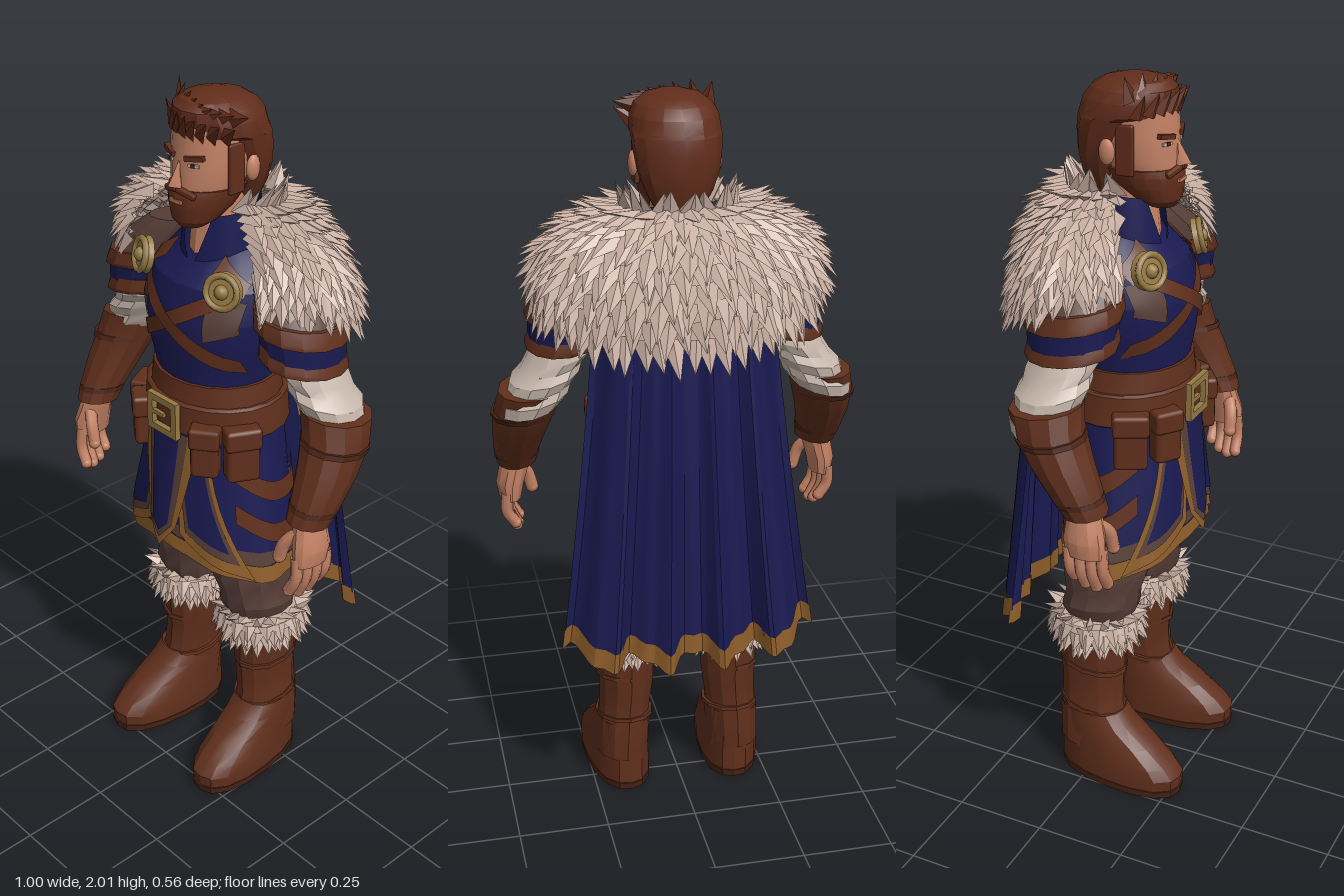
import * as THREE from 'three';
import { mergeGeometries, toCreasedNormals } from 'three/addons/utils/BufferGeometryUtils.js';
import { RoundedBoxGeometry } from 'three/addons/geometries/RoundedBoxGeometry.js';

const mat = (name, color) => Object.assign(new THREE.MeshStandardMaterial({ color, side: THREE.DoubleSide }), { name });
const M = {
  leather: mat('leather', 0x602f1c), dark: mat('darkLeather', 0x4a2416), hair: mat('hair', 0x622d1b),
  skin: mat('skin', 0xc48265), fur: mat('fur', 0xc9afa2), navy: mat('navyCloth', 0x1a1a52),
  gold: mat('goldTrim', 0x8e5e2a), brass: mat('brass', 0x967a44), brown: mat('brownCloth', 0x583f38),
  linen: mat('linen', 0xc8b8ac),
};
const V = (x, y, z) => new THREE.Vector3(x, y, z);
const lerp = THREE.MathUtils.lerp;
let seed = 7;
const rnd = () => (seed = (seed * 16807) % 2147483647) / 2147483647;

// Indexed grid surface; wrap joins the last column to the first
function grid(fn, nu, nv, wrap = false, caps = false) {
  const pos = [], idx = [], cols = wrap ? nu : nu + 1;
  for (let j = 0; j <= nv; j++) for (let i = 0; i < cols; i++) pos.push(...fn(i / nu, j / nv, j));
  for (let j = 0; j < nv; j++) for (let i = 0; i < nu; i++) {
    const a = j * cols + i, b = j * cols + (i + 1) % cols;
    idx.push(a, b, b + cols, a, b + cols, a + cols);
  }
  if (caps) for (let i = 1; i < nu - 1; i++) {
    const t = nv * cols;
    idx.push(0, i + 1, i, t, t + i, t + i + 1);
  }
  const g = new THREE.BufferGeometry();
  g.setAttribute('position', new THREE.Float32BufferAttribute(pos, 3));
  g.setIndex(idx);
  return toCreasedNormals(g, 0.45);
}
// Stacked oval rings, bottom to top: [x, y, z, radiusX, radiusZ]; tilt slopes the rings along x and z
const loft = (secs, n = 14, p = 2, tilt = [0, 0]) => grid((u, v, j) => {
  const [x, y, z, rx, rz] = secs[j], a = u * Math.PI * 2, s = Math.sin(a), c = Math.cos(a);
  const k = Math.pow(Math.abs(s) ** p + Math.abs(c) ** p, -1 / p), dx = rx * s * k, dz = rz * c * k;
  return [x + dx, y + dx * tilt[0] + dz * tilt[1], z + dz];
}, n, secs.length - 1, true, true);

function spike(base, dir, normal, len, w) {
  const g = new THREE.ConeGeometry(w, len, 4, 1, true).toNonIndexed();
  g.scale(1, 1, 0.45).translate(0, len * 0.4, 0);
  const y = dir.clone().normalize(), x = V().crossVectors(y, normal).normalize();
  g.applyMatrix4(new THREE.Matrix4().makeBasis(x, y, V().crossVectors(x, y)).setPosition(base));
  g.computeVertexNormals();
  return g;
}

export function createModel() {
  const root = new THREE.Group();
  root.name = 'cloakedWarrior';
  const add = (name, g, m, x = 0, y = 0, z = 0, rx = 0, ry = 0, rz = 0) => {
    const mesh = new THREE.Mesh(g, m);
    mesh.name = name;
    mesh.position.set(x, y, z);
    mesh.rotation.set(rx, ry, rz);
    root.add(mesh);
  };
  const ball = (name, m, x, y, z, a, b, c) => add(name, new THREE.SphereGeometry(1, 10, 7).scale(a, b, c), m, x, y, z);
  const rod = (name, m, r, pts) => {
    add(name, new THREE.TubeGeometry(new THREE.CatmullRomCurve3(pts), 8, r, 7), m);
    const e = pts[pts.length - 1];
    ball(name + 'Tip', m, e.x, e.y, e.z, r, r, r);
  };

  // Torso, neck and open collar
  const torso = [[0, 1.1, 0.04, 0.185, 0.155], [0, 1.25, 0.04, 0.168, 0.15], [0, 1.34, 0.045, 0.19, 0.16],
    [0, 1.44, 0.04, 0.21, 0.165], [0, 1.52, 0.015, 0.2, 0.162], [0, 1.58, 0, 0.15, 0.115], [0, 1.61, 0, 0.1, 0.085]];
  add('tunicTorso', loft(torso, 20), M.navy);
  const chestZ = (x, y) => {
    const i = Math.max(0, torso.findIndex((s, k) => k < 6 && y <= torso[k + 1][1])), a = torso[i], b = torso[i + 1];
    const t = (y - a[1]) / (b[1] - a[1]), rx = lerp(a[3], b[3], t);
    return lerp(a[2], b[2], t) + lerp(a[4], b[4], t) * Math.sqrt(Math.max(0, 1 - (x / rx) ** 2));
  };
  add('neck', loft([[0, 1.54, 0.03, 0.07, 0.088], [0, 1.62, 0.025, 0.07, 0.085], [0, 1.74, 0.02, 0.062, 0.07]]), M.skin);
  add('collar', grid((u, v) => {
    const a0 = 0.03 + 0.55 * v, a = a0 + u * (Math.PI * 2 - 2 * a0), r = 0.112 - 0.014 * v;
    return [r * Math.sin(a), lerp(1.555, 1.705, v) - 0.015 * Math.cos(a), 0.018 + r * Math.cos(a)];
  }, 24, 4), M.navy);

  // Crossed chest straps, upper harness and side panels
  for (const s of [-1, 1]) {
    add('chestStrap', grid((u, v) => {
      const x = s * lerp(-0.17, 0.175, u), y = lerp(1.53, 1.32, u) + (v - 0.5) * 0.046;
      return [x, y, chestZ(x, y) + 0.01 + s * 0.002];
    }, 14, 1), M.leather);
    add('harness', grid((u, v) => {
      const x = s * lerp(0.085, 0.17, u), y = lerp(1.575, 1.52, u) + (v - 0.5) * 0.04;
      return [x, y, chestZ(x, y) + 0.012];
    }, 6, 1), M.leather);
    add('chestPanel', grid((u, v) => {
      const x = s * lerp(0.105, 0.18, u), y = lerp(1.39 + 0.03 * u, 1.5, v);
      return [x, y, chestZ(x, y) + 0.004];
    }, 5, 4), M.brown);
  }

  // Belts, buckle and pouches
  add('waistBand', loft([[0, 1.2, 0.04, 0.187, 0.166], [0, 1.255, 0.04, 0.178, 0.16]], 20), M.leather);
  add('belt', loft([[0, 1.11, 0.04, 0.205, 0.174], [0, 1.115, 0.04, 0.211, 0.18], [0, 1.195, 0.04, 0.202, 0.178], [0, 1.2, 0.04, 0.195, 0.17]], 20), M.leather);
  const frame = new THREE.Shape([[-0.056, -0.053], [0.056, -0.053], [0.056, 0.053], [-0.056, 0.053]].map(p => new THREE.Vector2(...p)));
  frame.holes.push(new THREE.Path([[-0.036, -0.034], [-0.036, 0.034], [0.036, 0.034], [0.036, -0.034]].map(p => new THREE.Vector2(...p))));
  add('buckle', new THREE.ExtrudeGeometry(frame, { depth: 0.016, bevelEnabled: false }), M.brass, 0, 1.155, 0.22);
  add('bucklePin', new THREE.BoxGeometry(0.05, 0.012, 0.01), M.brass, -0.02, 1.155, 0.23);
  for (const s of [-1, 1]) for (const [a, w, h] of [[0.62, 0.075, 0.13], [1.1, 0.09, 0.15]]) {
    const x = s * 0.213 * Math.sin(a), z = 0.04 + 0.188 * Math.cos(a);
    add('pouch', new RoundedBoxGeometry(w, h, 0.055, 1, 0.012), M.leather, x, 1.08, z, 0, s * a, 0);
    add('pouchFlap', new RoundedBoxGeometry(w + 0.008, 0.06, 0.064, 1, 0.01), M.leather, x, 1.13, z, 0, s * a, 0);
  }

  // Skirt of the tunic with trimmed overlapping panels
  const skirt = (a, y, off = 0) => {
    const f = (1.13 - y) / 0.44, e = off + 0.006 * f * Math.cos(a * 9);
    return [(0.188 + 0.075 * f + e) * Math.sin(a), y, 0.035 + 0.015 * f + (0.16 + 0.025 * f + e) * Math.cos(a)];
  };
  const hem = a => 0.76 - 0.07 * Math.min(1, Math.abs(a) / 1.2);
  const ring = (v0, v1, off) => grid((u, v) => {
    const a = (u - 0.5) * Math.PI * 2;
    return skirt(a, lerp(1.13, hem(a), lerp(v0, v1, v)), off);
  }, 40, 4);
  add('skirt', ring(0, 0.98, 0), M.navy);
  add('skirtBand', ring(0.8, 0.89, 0.003), M.brown);
  add('skirtHem', ring(0.89, 1, 0.005), M.gold);
  const bordered = (name, fn, bu, bv, off) => [[M.gold, 0], [M.brown, 1], [M.navy, 1.8]].forEach(([m, k]) =>
    add(name, grid((u, v) => fn(lerp(bu * k, 1 - bu * k, u), v * (1 - bv * k), off + 0.003 * k), 12, 8), m));
  for (const s of [-1, 1]) {
    bordered('frontPanel', (u, v, o) => skirt(s * lerp(0.13 + 0.1 * v, 0.62 + 0.55 * v * v, u),
      lerp(1.12, 0.81 - 0.11 * u ** 0.7, v), o), 0.1, 0.1, 0.013);
    for (const y0 of [0.99, 0.87]) add('hipStrap', grid((u, v) => skirt(s * lerp(0.95, 2.4, u),
      y0 + (v - 0.5) * 0.055 - 0.05 * Math.sin(u * Math.PI) + 0.06 * (0.5 - u), 0.011), 12, 1), M.leather);
  }
  bordered('tabard', (u, v, o) => {
    const y = lerp(1.11, 0.755 + 0.075 * Math.abs(2 * u - 1), v), w = lerp(0.5, 0.2, v);
    return skirt((2 * u - 1) * w, y, o);
  }, 0.15, 0.08, 0.022);

  // Head, face and beard
  add('face', loft([[0, 1.69, 0.1, 0.045, 0.055], [0, 1.74, 0.075, 0.075, 0.09], [0, 1.79, 0.055, 0.093, 0.108],
    [0, 1.85, 0.045, 0.1, 0.115], [0, 1.92, 0.04, 0.098, 0.115], [0, 1.96, 0.03, 0.07, 0.09]], 18), M.skin);
  add('beard', loft([[0, 1.665, 0.12, 0.035, 0.035], [0, 1.685, 0.108, 0.062, 0.062], [0, 1.72, 0.085, 0.082, 0.09],
    [0, 1.75, 0.07, 0.091, 0.105], [0, 1.768, 0.06, 0.094, 0.107]], 16), M.hair);
  add('nose', new THREE.ConeGeometry(0.018, 0.07, 4).scale(1, 1, 1.4), M.skin, 0, 1.81, 0.166, -0.22, 0, 0);
  add('lowerLip', new THREE.BoxGeometry(0.04, 0.009, 0.008), M.skin, 0, 1.738, 0.173);

  // Rounded hair with locks swept up from the forehead
  add('hairCap', loft([[0, 1.69, -0.03, 0.055, 0.045], [0, 1.75, -0.03, 0.088, 0.066], [0, 1.8, -0.026, 0.106, 0.077],
    [0, 1.85, -0.012, 0.114, 0.094], [0, 1.89, 0.002, 0.117, 0.104], [0, 1.9, 0.022, 0.118, 0.122], [0, 1.935, 0.032, 0.114, 0.122],
    [0, 1.962, 0.042, 0.1, 0.11], [0, 1.98, 0.048, 0.075, 0.085], [0, 1.99, 0.05, 0.035, 0.045]], 14), M.hair);
  const locks = [];
  for (let r = 0; r < 2; r++) for (let i = 0; i < 9; i++) {
    const t = i / 8 - 0.5;
    locks.push(spike(V(t * 0.19, 1.915 + 0.04 * r - 0.025 * t * t, 0.15 - 0.02 * r - 0.22 * t * t),
      V(0.45 + t, 0.65 - 0.4 * r, 0.25 - 0.3 * r), V(t, 0.3, 1), 0.065, 0.026));
  }
  add('foreheadLocks', mergeGeometries(locks), M.hair);
  for (const s of [-1, 1]) {
    add('sideburn', new RoundedBoxGeometry(0.014, 0.13, 0.05, 1, 0.006), M.hair, s * 0.095, 1.82, 0.06);
    ball('ear', M.skin, s * 0.11, 1.815, 0.018, 0.013, 0.034, 0.022);
    add('moustache', new RoundedBoxGeometry(0.058, 0.018, 0.016, 1, 0.006), M.hair, s * 0.026, 1.763, 0.163, 0, s * 0.25, -s * 0.25);
    add('brow', new THREE.BoxGeometry(0.052, 0.012, 0.014), M.hair, s * 0.044, 1.853, 0.15, 0, s * 0.35, s * 0.14);
    add('eye', new THREE.BoxGeometry(0.03, 0.008, 0.006), M.linen, s * 0.042, 1.834, 0.151, 0, s * 0.35, 0);
    add('iris', new THREE.BoxGeometry(0.012, 0.009, 0.006), M.dark, s * 0.041, 1.834, 0.153, 0, s * 0.35, 0);
  }

  for (const s of [-1, 1]) {
    const side = secs => secs.map(([x, ...r]) => [s * x, ...r]);
    // Layered shoulder guard, sloping outward
    const slope = [-s * 0.12, 0.1];
    add('shoulder', loft(side([[0.3, 1.37, 0.015, 0.095, 0.115], [0.285, 1.45, 0.015, 0.108, 0.122]]), 14, 2, slope), M.navy);
    add('shoulderTop', loft(side([[0.285, 1.45, 0.015, 0.108, 0.122], [0.25, 1.53, 0.005, 0.105, 0.108], [0.2, 1.59, -0.01, 0.08, 0.08]]), 14, 2, slope), M.brown);
    for (const [x, y, r] of [[0.3, 1.36, 0.104], [0.29, 1.44, 0.112]])
      add('shoulderBand', loft(side([[x, y, 0.015, r, r + 0.018], [x - 0.004, y + 0.01, 0.015, r + 0.002, r + 0.02], [x - 0.012, y + 0.045, 0.015, r - 0.004, r + 0.012]]), 14, 2, slope), M.leather);
    // Puffed sleeve and bracer
    add('sleeve', loft(side([[0.4, 1.19, -0.012, 0.08, 0.085], [0.385, 1.225, -0.012, 0.094, 0.097], [0.37, 1.25, -0.01, 0.087, 0.09], [0.355, 1.28, -0.008, 0.095, 0.1],
      [0.338, 1.305, -0.005, 0.086, 0.09], [0.316, 1.335, 0, 0.09, 0.098], [0.3, 1.38, 0.005, 0.08, 0.09]]), 12, 2, [-s * 0.2, 0.1]), M.linen);
    add('bracer', loft(side([[0.425, 0.985, 0.115, 0.055, 0.06], [0.427, 1.03, 0.092, 0.062, 0.068], [0.42, 1.11, 0.045, 0.076, 0.082],
      [0.406, 1.19, 0.005, 0.088, 0.09], [0.39, 1.245, -0.01, 0.091, 0.097]]), 12, 2, [-s * 0.1, 0.1]), M.leather);
    for (const [x, y, z, r] of [[0.426, 1.015, 0.1, 0.062], [0.413, 1.165, 0.018, 0.087]])
      add('bracerStrap', loft(side([[x, y, z, r, r + 0.004], [x, y + 0.014, z - 0.006, r + 0.001, r + 0.005]]), 12, 2, [-s * 0.1, 0.1]), M.dark);
    // Hand
    add('palm', loft(side([[0.447, 0.875, 0.124, 0.03, 0.055], [0.446, 0.92, 0.122, 0.039, 0.058], [0.436, 0.96, 0.118, 0.041, 0.05], [0.428, 1, 0.112, 0.042, 0.046]]), 12), M.skin);
    for (let i = 0; i < 4; i++) {
      const z = 0.083 + i * 0.028, l = [0.085, 0.105, 0.112, 0.1][i], x = 0.458 - i * 0.006;
      rod('finger', M.skin, 0.0165, [V(s * x, 0.9, z), V(s * (x + 0.002), 0.885 - l * 0.5, z + 0.004), V(s * (x - 0.02), 0.89 - l, z + 0.006)]);
    }
    rod('thumb', M.skin, 0.018, [V(s * 0.425, 0.96, 0.145), V(s * 0.395, 0.925, 0.165), V(s * 0.38, 0.875, 0.17)]);

    // Trousers and boots
    add('trouserLeg', loft(side([[0.14, 0.46, -0.005, 0.075, 0.09], [0.135, 0.54, 0.01, 0.1, 0.112], [0.13, 0.58, 0.015, 0.094, 0.108], [0.125, 0.63, 0.02, 0.108, 0.12],
      [0.122, 0.67, 0.02, 0.1, 0.116], [0.12, 0.76, 0.02, 0.108, 0.125], [0.11, 0.95, 0.03, 0.1, 0.13]]), 12, 2, [s * 0.15, 0.1]), M.brown);
    add('bootShaft', loft(side([[0.165, 0.1, -0.01, 0.074, 0.088], [0.16, 0.2, -0.002, 0.078, 0.1], [0.158, 0.235, -0.004, 0.073, 0.092], [0.152, 0.3, -0.006, 0.076, 0.092],
      [0.15, 0.345, -0.006, 0.08, 0.096], [0.15, 0.45, -0.005, 0.084, 0.098]]), 12), M.leather);
    for (const y of [0.215, 0.35]) add('bootStrap', loft(side([[0.155, y, -0.004, 0.081, 0.1], [0.155, y + 0.012, -0.004, 0.08, 0.099]]), 12, 2, [0, -0.15]), M.leather);
    const foot = (name, secs, m) => add(name, loft(secs, 16, 2.4), m, s * 0.162, 0, 0, 0, s * 0.09, 0);
    foot('bootFoot', [[0, 0.015, 0.092, 0.086, 0.188], [0, 0.055, 0.094, 0.087, 0.189], [0, 0.085, 0.082, 0.085, 0.176],
      [0, 0.13, 0.052, 0.08, 0.146], [0, 0.175, 0.018, 0.078, 0.112], [0, 0.215, 0, 0.074, 0.094]], M.leather);
    foot('bootSole', [[0, 0, 0.093, 0.085, 0.188], [0, 0.022, 0.093, 0.088, 0.192]], M.dark);

    // Fur cuff below the knee
    add('cuffBase', loft(side([[0.142, 0.43, 0, 0.095, 0.106], [0.142, 0.47, 0, 0.118, 0.126], [0.142, 0.52, 0, 0.098, 0.11]])), M.fur);
    const tufts = [];
    for (let r = 0; r < 5; r++) for (let i = 0; i < 18; i++) {
      const a = (i + (r % 2) / 2 + rnd() * 0.4) / 18 * Math.PI * 2, k = 0.102 + 0.014 * Math.sin(r / 4 * Math.PI), n = V(Math.sin(a), 0, Math.cos(a));
      tufts.push(spike(V(s * 0.142 + n.x * k, 0.455 + r * 0.016, n.z * (k + 0.01)), V(n.x * 0.5 + rnd() * 0.3 - 0.15, r > 3 ? 0.2 : -0.8, n.z * 0.5),
        V(n.x, 0.5, n.z), 0.045 + rnd() * 0.015, 0.024));
    }
    add('furCuff', mergeGeometries(tufts), M.fur);

    // Round cloak clasp
    const clasp = new THREE.Group();
    clasp.name = 'cloakClasp';
    clasp.position.set(s * 0.15, 1.54, 0.155);
    clasp.rotation.set(-0.25, s * 0.4, 0);
    for (const g of [new THREE.CylinderGeometry(0.046, 0.05, 0.022, 16).rotateX(Math.PI / 2), new THREE.TorusGeometry(0.042, 0.009, 6, 18).translate(0, 0, 0.01),
      new THREE.SphereGeometry(0.02, 10, 6).translate(0, 0, 0.008)]) clasp.add(new THREE.Mesh(g, M.brass));
    root.add(clasp);
  }

  // Fur mantle: domed shell covered in rows of broad tufts
  const mantle = (f, t) => {
    const a = f * 2.38, q = Math.sin(t * Math.PI / 2), back = Math.max(0, (Math.cos(a) + 0.25) / 1.25);
    return V(lerp(0.135, 0.375, q) * Math.sin(a), lerp(1.715, 1.545 - 0.14 * back, 1 - Math.cos(t * Math.PI / 2)),
      -0.028 - lerp(0.088, 0.198, q) * Math.cos(a));
  };
  add('mantleBase', grid((u, v) => mantle(u * 2 - 1, v).toArray(), 30, 6), M.fur);
  const tufts = [];
  for (let r = 0; r <= 10; r++) {
    const t = r / 10, n = Math.round(20 + 22 * t);
    for (let i = 0; i <= n; i++) {
      const f = THREE.MathUtils.clamp((i + (r % 2) / 2 + rnd() * 0.4) / n * 2 - 1, -1, 1), p = mantle(f, t);
      const down = mantle(f, t + 0.01).sub(mantle(f, t - 0.01)).normalize();
      const across = mantle(f + 0.01, t).sub(mantle(f - 0.01, t)).normalize();
      const nor = V().crossVectors(across, down).normalize();
      const dir = down.clone().multiplyScalar(r ? 0.9 : 0.15).addScaledVector(nor, 0.28 + rnd() * 0.2).addScaledVector(across, (rnd() - 0.5) * 0.4);
      tufts.push(spike(p, dir, nor, (r ? 0.08 : 0.06) + rnd() * 0.03, 0.029 + rnd() * 0.008));
    }
  }
  add('furMantle', mergeGeometries(tufts), M.fur);

  // Pleated cape with trimmed hem
  const cape = (u, v, off = 0) => {
    const x = u * 2 - 1, fold = -Math.cos(x * Math.PI * 2 / 0.46) + 0.4 * Math.cos(x * 31);
    const amp = 0.006 + 0.022 * v;
    return [x * (0.235 + 0.115 * v ** 1.2 + off), lerp(1.52, 0.5, v) - 0.015 * fold * v + 0.03 * x ** 4 * v,
      -0.17 - 0.07 * v + 0.075 * x ** 4 - amp * fold - off];
  };
  add('cape', grid((u, v) => cape(u, v * 0.96), 56, 12), M.navy);
  for (const o of [-0.003, 0.003]) add('capeHem', grid((u, v) => cape(u, lerp(0.945, 1, v), o), 56, 1), M.gold);
  return root;
}
